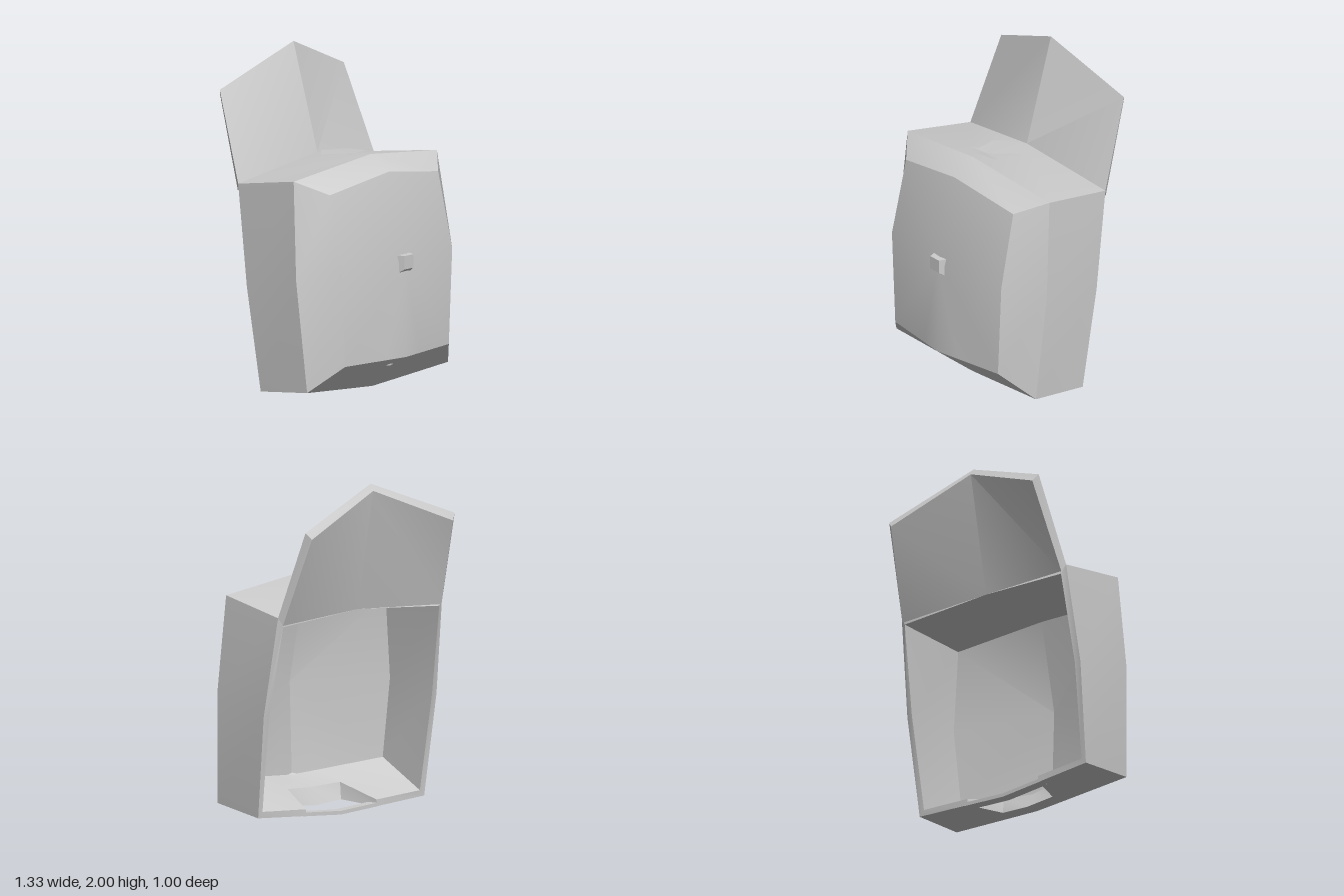
import * as THREE from 'three';
import { toCreasedNormals } from 'three/addons/utils/BufferGeometryUtils.js';

const grey = new THREE.MeshStandardMaterial({ color: 0xcccccc, side: THREE.DoubleSide });

const lerp = (a, b, t) => a.map((v, i) => v + (b[i] - v) * t);
const flip = ([x, y, z]) => [-x, y, z];
const quad = (a, b, c, d) => [a, b, c, a, c, d];

// Closed fan from a centre point to a loop of points
const fan = (centre, loop, reverse = false) => loop.flatMap((p, i) => {
  const q = loop[(i + 1) % loop.length];
  return reverse ? [centre, q, p] : [centre, p, q];
});

// Strip between two loops, optionally skipping some segments
const band = (a, b, skip = []) => a.flatMap((p, i) => {
  const j = (i + 1) % a.length;
  return skip.includes(i) ? [] : quad(p, b[i], b[j], a[j]);
});

// Mirrored ten-point loop, counter-clockwise from the front
const ring = (top, topMid, side, bottom, inner, bottomMid) => [
  top, topMid, flip(top), flip(side), flip(bottom), flip(inner), bottomMid, inner, bottom, side,
];

function part(name, triangles, crease = 0.42) {
  const geometry = new THREE.BufferGeometry();
  geometry.setAttribute('position', new THREE.Float32BufferAttribute(triangles.flat(), 3));
  const mesh = new THREE.Mesh(toCreasedNormals(geometry, crease), grey);
  mesh.name = name;
  return mesh;
}

// Hollow body, open at the back, with a notch in the floor
function makeShell() {
  const front = ring([0.48, 1.245, 0.31], [0, 1.32, 0.35], [0.49, 0.8, 0.41],
    [0.46, 0.235, 0.41], [0.15, 0.235, 0.457], [0, 0.235, 0.48]);
  const lip = front.map((p, i) => (i >= 4 && i <= 8 ? [p[0], p[1], 0.41] : p));
  const bevel = ring([0.635, 1.33, 0.165], [0, 1.405, 0.205], [0.665, 0.75, 0.21],
    [0.625, 0.085, 0.26], [0.15, 0.043, 0.23], [0, 0.03, 0.22]);
  const rear = ring([0.605, 1.255, -0.29], [0, 1.365, -0.205], [0.637, 0.66, -0.195],
    [0.612, 0.045, -0.11], [0.26, 0.02, -0.11], [0, 0.002, -0.1]);
  const rim = ring([0.575, 1.2, -0.3], [0, 1.24, -0.27], [0.6, 0.66, -0.2],
    [0.58, 0.08, -0.11], [0.26, 0.06, -0.11], [0, 0.05, -0.1]);
  const inside = ring([0.56, 1.2, 0.19], [0, 1.26, 0.26], [0.6, 0.7, 0.2],
    [0.57, 0.23, 0.23], [0.15, 0.185, 0.325], [0, 0.17, 0.36]);

  const notch = [5, 6];
  const rest = [0, 1, 2, 3, 4, 7, 8, 9];
  const low = rear.map((p, i) => lerp(p, bevel[i], 0.7));
  const high = rim.map((p, i) => lerp(p, inside[i], 0.6));
  return part('shell', [
    ...fan([0, 0.8, 0.477], front),
    ...band(front, lip, [0, 1, 2, 3, 8, 9]),
    ...band(lip, bevel),
    ...band(bevel, rear, notch), ...band(bevel, low, rest),
    ...band(rear, rim, notch),
    ...band(rim, inside, notch), ...band(high, inside, rest),
    ...band(low, high, rest),
    ...quad(rear[5], rim[5], high[5], low[5]),
    ...quad(low[7], high[7], rim[7], rear[7]),
    ...fan([0, 0.72, 0.38], inside, true),
  ]);
}

// Raised, folded back panel with a pointed top
function makeBackPanel() {
  const outline = (foot, footMid, shoulder, peak) =>
    [flip(foot), footMid, foot, shoulder, peak, flip(shoulder)];
  const face = outline([0.605, 1.255, -0.29], [0, 1.365, -0.205], [0.55, 1.78, -0.48], [0, 2, -0.39]);
  const back = outline([0.585, 1.21, -0.31], [0, 1.24, -0.27], [0.52, 1.74, -0.503], [0, 1.96, -0.415]);
  const halves = (p) => [...quad(p[0], p[1], p[4], p[5]), ...quad(p[1], p[2], p[3], p[4])];
  return part('backPanel', [...halves(face), ...halves(back).reverse(), ...band(face, back)]);
}

// Bent bar closing the notch at the back of the floor
function makeStrap() {
  const section = (x, y) => [[x, y, -0.11], [x, y + 0.022, -0.11], [x, y + 0.022, -0.05], [x, y, -0.05]];
  const ends = [section(-0.28, 0.02), section(0, 0), section(0.28, 0.02)];
  return part('floorStrap', [...band(ends[0], ends[1]), ...band(ends[1], ends[2])]);
}

// Thin faceted ornament on the top
function makeOrnament() {
  const loop = [
    [0, 1.42, 0.175], [0.12, 1.408, 0.13], [0.08, 1.402, 0.1], [0.125, 1.385, -0.07],
    [0, 1.38, -0.175], [-0.125, 1.385, -0.07], [-0.08, 1.402, 0.1], [-0.12, 1.408, 0.13],
  ];
  return part('topOrnament', fan([0, 1.4, 0.105], loop), 0.02);
}

// Small square stud on the front
function makeStud() {
  const square = (r, y, z) => [[r, y + r, z], [-r, y + r, z], [-r, y - r, z], [r, y - r, z]];
  const base = square(0.055, 0.79, 0.46);
  const cap = square(0.04, 0.803, 0.502);
  return part('frontStud', [...band(cap, base), ...fan([0, 0.803, 0.502], cap)]);
}

export function createModel() {
  const group = new THREE.Group();
  group.name = 'backpack';
  group.add(makeShell(), makeBackPanel(), makeStrap(), makeOrnament(), makeStud());
  return group;
}
